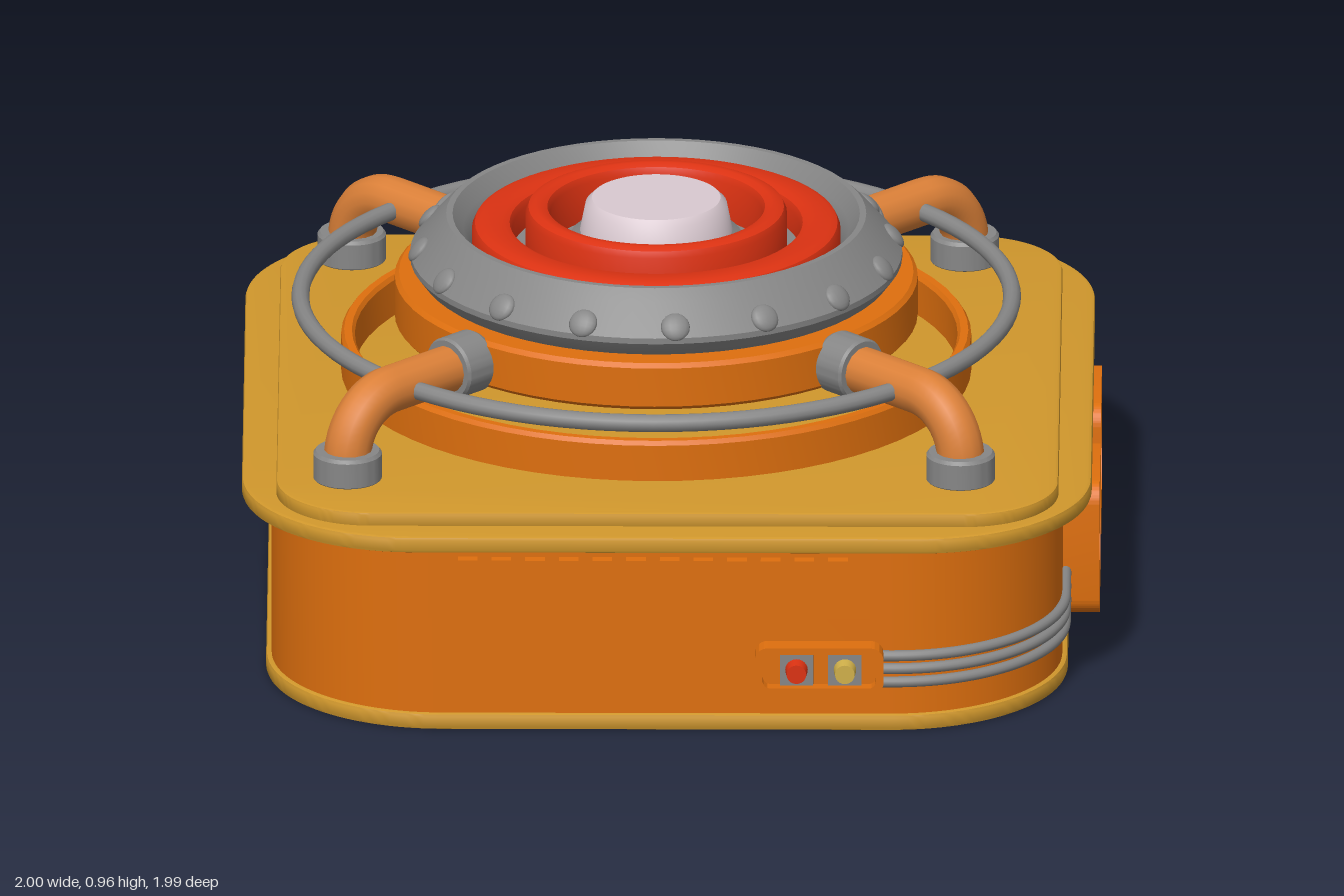
import * as THREE from 'three';
import { toCreasedNormals } from 'three/addons/utils/BufferGeometryUtils.js';

const paint = (name, color) => {
  const m = new THREE.MeshStandardMaterial({ color });
  m.name = name;
  return m;
};

export function createModel() {
  const model = new THREE.Group();
  model.name = 'reactorUnit';
  const orange = paint('orange', 0xde6f0e);
  const ochre = paint('ochre', 0xd0972c);
  const copper = paint('copper', 0xdb8038);
  const grey = paint('grey', 0x868686);
  const red = paint('red', 0xdc3212);
  const pink = paint('palePink', 0xd9c9d0);
  const yellow = paint('yellow', 0xd0b04a);

  const add = (parent, name, geo, mat, x = 0, y = 0, z = 0) => {
    const m = new THREE.Mesh(geo, mat);
    m.name = name;
    m.position.set(x, y, z);
    parent.add(m);
    return m;
  };
  const subgroup = (name, parent = model) => {
    const g = new THREE.Group();
    g.name = name;
    parent.add(g);
    return g;
  };
  const roundRect = (hw, hh, r) => {
    const s = new THREE.Shape();
    s.absarc(hw - r, hh - r, r, 0, Math.PI / 2);
    s.absarc(-hw + r, hh - r, r, Math.PI / 2, Math.PI);
    s.absarc(-hw + r, -hh + r, r, Math.PI, Math.PI * 1.5);
    s.absarc(hw - r, -hh + r, r, Math.PI * 1.5, Math.PI * 2);
    s.closePath();
    return s;
  };
  const extrude = (shape, depth, bevel = 0) => {
    const g = new THREE.ExtrudeGeometry(shape, {
      depth: depth - 2 * bevel, curveSegments: 16, bevelEnabled: bevel > 0,
      bevelThickness: bevel, bevelSize: bevel, bevelOffset: -bevel, bevelSegments: 2,
    });
    g.translate(0, 0, bevel);
    return toCreasedNormals(g, 0.5);
  };
  // Horizontal rounded slab rising from y = 0
  const slab = (half, r, h, bevel) => extrude(roundRect(half, half, r), h, bevel).rotateX(-Math.PI / 2);
  const lathe = (pts) => toCreasedNormals(
    new THREE.LatheGeometry(pts.map(([x, y]) => new THREE.Vector2(x, y)), 64), 0.6);
  const V = (x, y, z) => new THREE.Vector3(x, y, z);
  // Straight, quarter bend, straight
  const bentTube = (a, b, corner, c, d, radius, segs) => {
    const path = new THREE.CurvePath();
    path.add(new THREE.LineCurve3(a, b));
    path.add(new THREE.CubicBezierCurve3(b, b.clone().lerp(corner, 0.55), c.clone().lerp(corner, 0.55), c));
    path.add(new THREE.LineCurve3(c, d));
    return new THREE.TubeGeometry(path, segs, radius, 14);
  };

  // Housing and plates
  add(model, 'basePlate', slab(0.935, 0.41, 0.04, 0.008), ochre, -0.008, 0, 0);
  add(model, 'housing', slab(0.922, 0.4, 0.43, 0), orange, -0.008, 0.035, 0.003);
  add(model, 'topPlate', slab(0.991, 0.4, 0.04, 0.008), ochre, -0.008, 0.46, -0.005);
  add(model, 'topPlateStep', slab(0.912, 0.22, 0.04, 0.006), ochre, -0.006, 0.492, -0.003);

  // Everything round sits on one axis, slightly off the housing centre
  const core = subgroup('core');
  core.position.set(-0.037, 0, -0.037);
  add(core, 'lowerRing', lathe([[0.735, 0.52], [0.735, 0.62], [0.728, 0.63], [0.71, 0.63],
    [0.703, 0.62], [0.703, 0.52]]), orange);
  add(core, 'domeCollar', lathe([[0, 0.66], [0.6, 0.66], [0.61, 0.67], [0.61, 0.765],
    [0.6, 0.775], [0.5, 0.775]]), orange);
  add(core, 'domeShell', lathe([[0.53, 0.765], [0.55, 0.78], [0.574, 0.812], [0.574, 0.826],
    [0.515, 0.895], [0.49, 0.92], [0.475, 0.92], [0.45, 0.885], [0.435, 0.86], [0.43, 0.83],
    [0, 0.83]]), grey);
  const ring = (name, ro, ri, top) => add(core, name, lathe([[ro, 0.825], [ro, top - 0.022],
    [ro - 0.007, top - 0.007], [ro - 0.022, top], [ri + 0.022, top], [ri + 0.007, top - 0.007],
    [ri, top - 0.022], [ri, 0.825]]), red);
  ring('outerRedRing', 0.43, 0.335, 0.905);
  ring('innerRedRing', 0.305, 0.247, 0.945);
  add(core, 'knobBase', lathe([[0.205, 0.825], [0.2, 0.865], [0.165, 0.89], [0, 0.89]]), grey);
  add(core, 'knob', lathe([[0.178, 0.88], [0.165, 0.945], [0.15, 0.96], [0, 0.96]]), pink);

  // Dome studs
  const studs = subgroup('domeStuds', core);
  const studGeo = new THREE.SphereGeometry(0.034, 16, 10);
  studGeo.scale(1, 1, 0.45);
  for (let i = 0; i < 16; i++) {
    const a = ((5 + i * 22.5) * Math.PI) / 180;
    const stud = add(studs, 'stud', studGeo, grey, Math.sin(a) * 0.555, 0.847, Math.cos(a) * 0.555);
    stud.rotation.set(-0.7, a, 0, 'YXZ');
  }

  // Guard hoop
  add(core, 'guardHoop', new THREE.TorusGeometry(0.83, 0.021, 12, 96).rotateX(Math.PI / 2), grey, 0, 0.713, 0);

  // Four pipes from the top plate to the dome
  const pipeGeo = bentTube(V(1.011, 0.54, 0), V(1.011, 0.58, 0), V(1.011, 0.715, 0),
    V(0.876, 0.715, 0), V(0.58, 0.715, 0), 0.056, 36);
  const collarGeo = lathe([[0, 0], [0.075, 0], [0.08, 0.006], [0.08, 0.066], [0.074, 0.074], [0, 0.074]]);
  for (let i = 0; i < 4; i++) {
    const arm = subgroup('pipeArm', core);
    arm.rotation.y = Math.PI / 4 + (i * Math.PI) / 2;
    add(arm, 'pipe', pipeGeo, copper);
    add(arm, 'footCollar', collarGeo, grey, 1.011, 0.528, 0);
    const c = add(arm, 'domePipeCollar', collarGeo, grey, 0.685, 0.715, 0);
    c.rotation.z = Math.PI / 2;
    c.scale.set(0.92, 1.25, 0.92);
  }

  // Front vent
  const vent = subgroup('frontVent');
  add(vent, 'ventPanel', new THREE.BoxGeometry(1.03, 0.18, 0.008), orange, -0.048, 0.368, 0.926);
  for (let i = 0; i < 12; i++) {
    add(vent, 'ventBar', new THREE.BoxGeometry(0.046, 0.132, 0.035), orange,
      -0.47 + i * 0.0785, 0.365, 0.938);
  }

  // Indicator box with two lamps
  const box = subgroup('indicatorBox');
  const frame = roundRect(0.15, 0.058, 0.03);
  frame.holes.push(roundRect(0.132, 0.042, 0.018));
  add(box, 'indicatorFrame', extrude(frame, 0.06), orange, 0.35, 0.163, 0.915);
  add(box, 'indicatorBack', extrude(roundRect(0.14, 0.05, 0.02), 0.03), orange, 0.35, 0.163, 0.915);
  [[0.297, red], [0.41, yellow]].forEach(([x, mat]) => {
    add(box, 'lampMount', new THREE.BoxGeometry(0.078, 0.078, 0.03), grey, x, 0.163, 0.947);
    const lampGeo = new THREE.CylinderGeometry(0.023, 0.028, 0.05, 24).rotateX(Math.PI / 2);
    add(box, 'lamp', lampGeo, mat, x, 0.163, 0.97);
  });

  // Cables wrapping the front corner
  [0.187, 0.155, 0.122].forEach((y) => {
    const x = 0.921, z = 0.932, r = 0.4;
    add(model, 'cable', bentTube(V(0.48, y, z), V(x - r, y, z), V(x, y, z),
      V(x, y, z - r), V(x, y, 0.36), 0.013, 40), grey);
  });

  // Side sockets
  [0.213, -0.293].forEach((z) => {
    const socket = subgroup('sideSocket');
    socket.position.set(0.9, 0.233, z);
    socket.rotation.y = Math.PI / 2;
    const block = roundRect(0.164, 0.164, 0.05);
    block.holes.push(new THREE.Path().absarc(0, 0, 0.13, 0, Math.PI * 2, true));
    add(socket, 'socketBlock', extrude(block, 0.1), orange);
    add(socket, 'socketFloor', new THREE.CylinderGeometry(0.132, 0.132, 0.02, 40).rotateX(Math.PI / 2),
      ochre, 0, 0, 0.025);
    add(socket, 'socketLens', lathe([[0.1, 0], [0.1, 0.03], [0.085, 0.042], [0, 0.042]]).rotateX(Math.PI / 2),
      yellow, 0, 0, 0.03);
  });

  return model;
}
